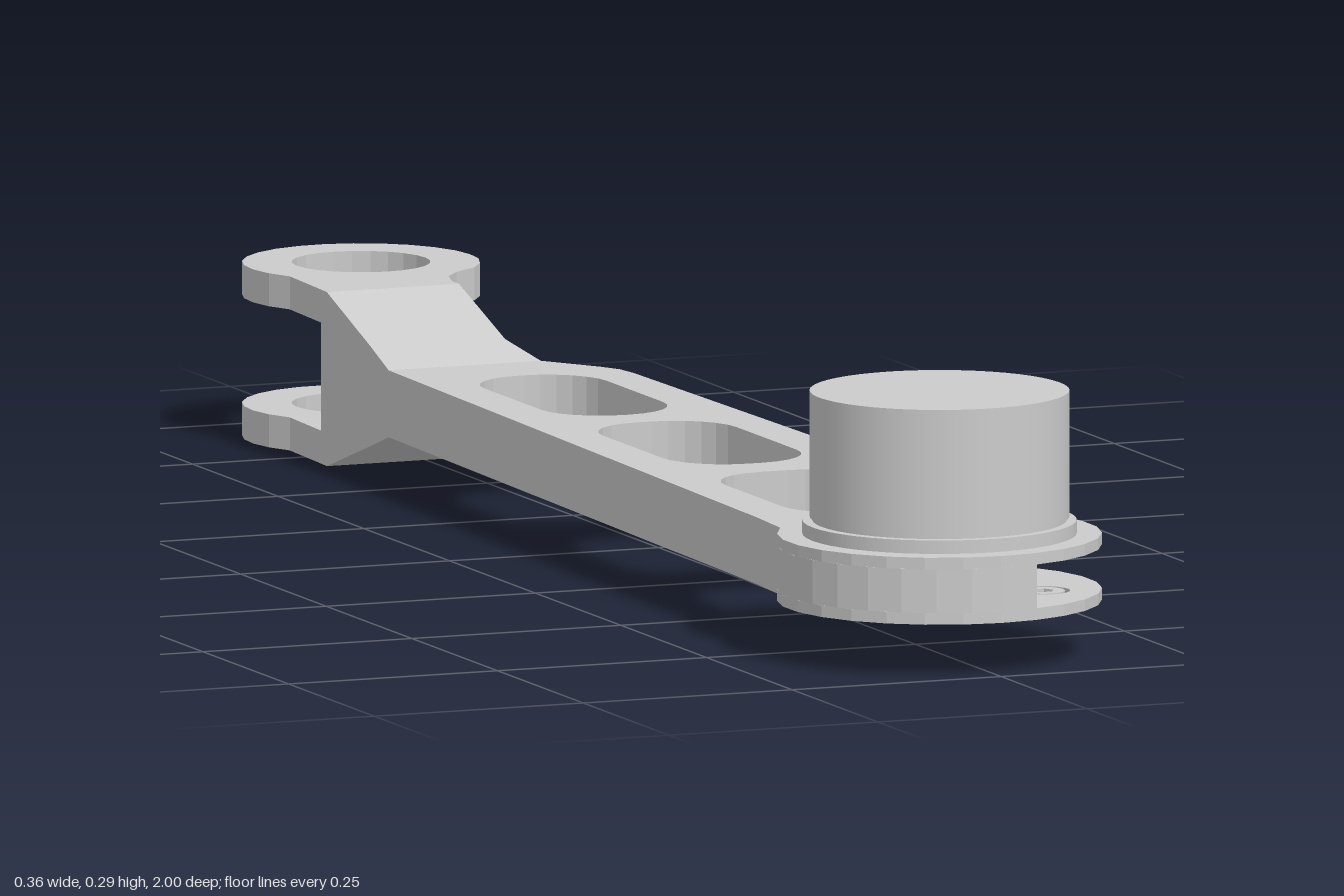
import * as THREE from 'three';

const HUB_Z = 0.82, HUB_R = 0.18, EYE_Z = -0.868, MID_Y = 0.0975;
const rad = THREE.MathUtils.degToRad;
const mat = new THREE.MeshStandardMaterial({ color: 0xcccccc });

// points of an arc, angles in degrees, in the (x, z) plan
function arc(cx, cz, r, a0, a1, n) {
  return Array.from({ length: n + 1 }, (_, i) => {
    const a = rad(a0 + ((a1 - a0) * i) / n);
    return new THREE.Vector2(cx + r * Math.cos(a), cz + r * Math.sin(a));
  });
}
const pts = (...list) => list.map(([x, z]) => new THREE.Vector2(x, z));
const circle = (x, z, r, n) => new THREE.Path(arc(x, z, r, 0, 360, n).slice(0, -1));

// rounded slot through the arm
function slot(hw, z0, z1, r) {
  return new THREE.Path([
    ...arc(hw - r, z1 - r, r, 0, 90, 6), ...arc(-hw + r, z1 - r, r, 90, 180, 6),
    ...arc(-hw + r, z0 + r, r, 180, 270, 6), ...arc(hw - r, z0 + r, r, 270, 360, 6),
  ]);
}

// flat plate from a plan outline, between heights y0 and y1
function plate(name, outline, holes, y0, y1) {
  const shape = new THREE.Shape(outline);
  shape.holes.push(...holes);
  const geo = new THREE.ExtrudeGeometry(shape, { depth: y1 - y0, bevelEnabled: false });
  geo.rotateX(Math.PI / 2).translate(0, y1, 0);
  const mesh = new THREE.Mesh(geo, mat);
  mesh.name = name;
  return mesh;
}

function cylinder(name, r, y0, y1, x, z, n) {
  const mesh = new THREE.Mesh(new THREE.CylinderGeometry(r, r, y1 - y0, n), mat);
  mesh.position.set(x, (y0 + y1) / 2, z);
  mesh.name = name;
  return mesh;
}

// solid neck that flares in height towards the fork
function neck() {
  const sections = [ // z, left x, right x, half height
    [-0.70, -0.117, 0.04, 0.0975], [-0.68, -0.118, 0.04, 0.0975],
    [-0.545, -0.12, 0.04, 0.055], [-0.49, -0.122, 0.06, 0.0375],
  ];
  const geo = new THREE.BoxGeometry(1, 1, 3, 1, 1, 3);
  const p = geo.attributes.position;
  for (let i = 0; i < p.count; i++) {
    const [z, xl, xr, h] = sections[Math.round(p.getZ(i) + 1.5)];
    p.setXYZ(i, p.getX(i) < 0 ? xl : xr, MID_Y + Math.sign(p.getY(i)) * h, z);
  }
  const flat = geo.toNonIndexed();
  flat.computeVertexNormals();
  const mesh = new THREE.Mesh(flat, mat);
  mesh.name = 'forkNeck';
  return mesh;
}

export function createModel() {
  const model = new THREE.Group();
  model.name = 'leverArm';

  // arm: two full flanges with a middle layer cut back on one side
  const leftEdge = pts([-0.145, 0.64], [-0.122, -0.49], [0.06, -0.49]);
  const flange = [
    ...arc(0, HUB_Z, HUB_R, -34, 214, 18), ...leftEdge,
    ...pts([0.105, -0.425], [0.118, -0.4], [0.122, -0.37], [0.146, 0.64]),
  ];
  const web = [
    ...arc(0, HUB_Z, HUB_R, 75.5, 214, 11), ...leftEdge,
    ...pts([0.126, -0.23], [0.146, 0.64], [0.15, 0.72]),
  ];
  const openings = () => [
    slot(0.073, -0.4, -0.095, 0.07), slot(0.08, -0.04, 0.28, 0.072),
    slot(0.089, 0.34, 0.65, 0.072), circle(0, HUB_Z, 0.056, 24),
  ];
  const bolts = Array.from({ length: 6 }, (_, i) => {
    const a = rad(30 + i * 60);
    return [0.115 * Math.cos(a), HUB_Z + 0.115 * Math.sin(a)];
  });
  const boltHoles = bolts.map(([x, z]) => circle(x, z, 0.031, 20));
  model.add(
    plate('lowerFlange', flange, [...openings(), ...boltHoles], 0.06, 0.073),
    plate('armWeb', web, openings(), 0.073, 0.122),
    plate('upperFlange', flange, openings(), 0.122, 0.135),
    neck(),
  );

  // recessed bolt heads with hexagonal sockets
  bolts.forEach(([x, z]) => {
    const head = arc(x, z, 0.025, 0, 360, 20).slice(0, -1);
    model.add(plate('boltHead', head, [circle(x, z, 0.013, 6)], 0.062, 0.073));
  });

  // fork: two eyelets, one above the other
  const eyelet = [
    ...pts([-0.117, -0.70], [-0.114, -0.78]),
    ...arc(0, EYE_Z, 0.132, 149, 400, 18),
    ...pts([0.07, -0.76], [0.05, -0.735], [0.04, -0.70]),
  ];
  const eye = () => [circle(0, EYE_Z, 0.077, 24)];
  model.add(
    plate('lowerEyelet', eyelet, eye(), 0, 0.037),
    plate('upperEyelet', eyelet, eye(), 0.158, 0.195),
  );

  // cap standing on the hub
  model.add(
    cylinder('capCollar', 0.152, 0.135, 0.15, 0, HUB_Z, 48),
    cylinder('capGroove', 0.141, 0.15, 0.154, 0, HUB_Z, 48),
    cylinder('cap', 0.144, 0.154, 0.295, 0, HUB_Z, 48),
  );
  return model;
}
